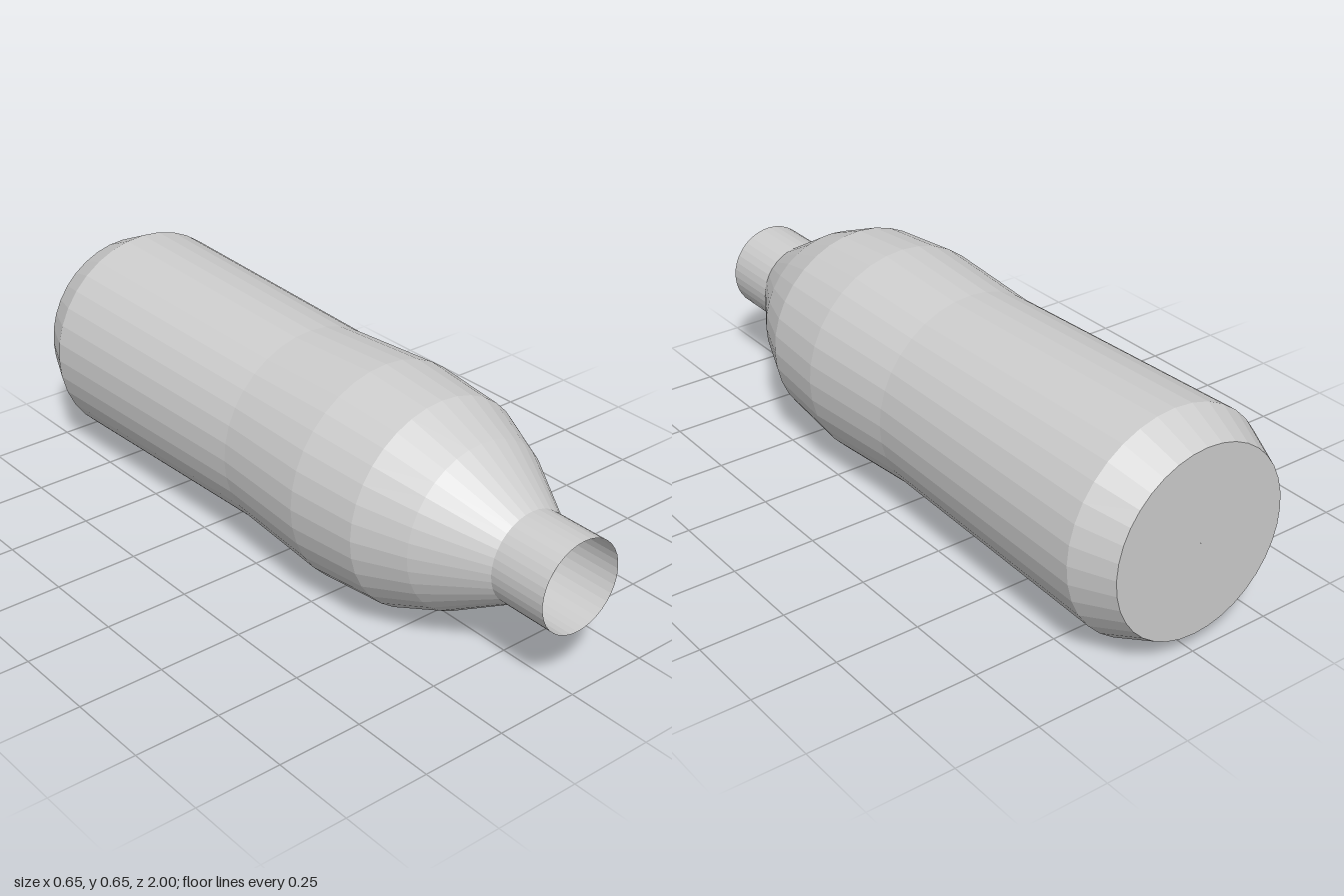
import * as THREE from 'three';

export function createModel() {
  const model = new THREE.Group();
  const grey = new THREE.MeshStandardMaterial({ color: 0xcccccc, flatShading: true, side: THREE.DoubleSide });
  grey.name = 'light grey';

  // bottle outline as [radius, position along the axis], from base to mouth
  const outline = [
    [0.001, -1], [0.273, -1], [0.327, -0.88], [0.307, -0.06], [0.327, 0.26],
    [0.307, 0.48], [0.245, 0.63], [0.133, 0.82], [0.133, 1],
  ].map(([r, y]) => new THREE.Vector2(r, y));

  // thin open shell, lying down with its mouth towards the front
  const geometry = new THREE.LatheGeometry(outline, 36);
  geometry.rotateX(Math.PI / 2);
  const bottle = new THREE.Mesh(geometry, grey);
  bottle.name = 'bottle';
  bottle.position.y = 0.327;
  model.add(bottle);

  return model;
}
